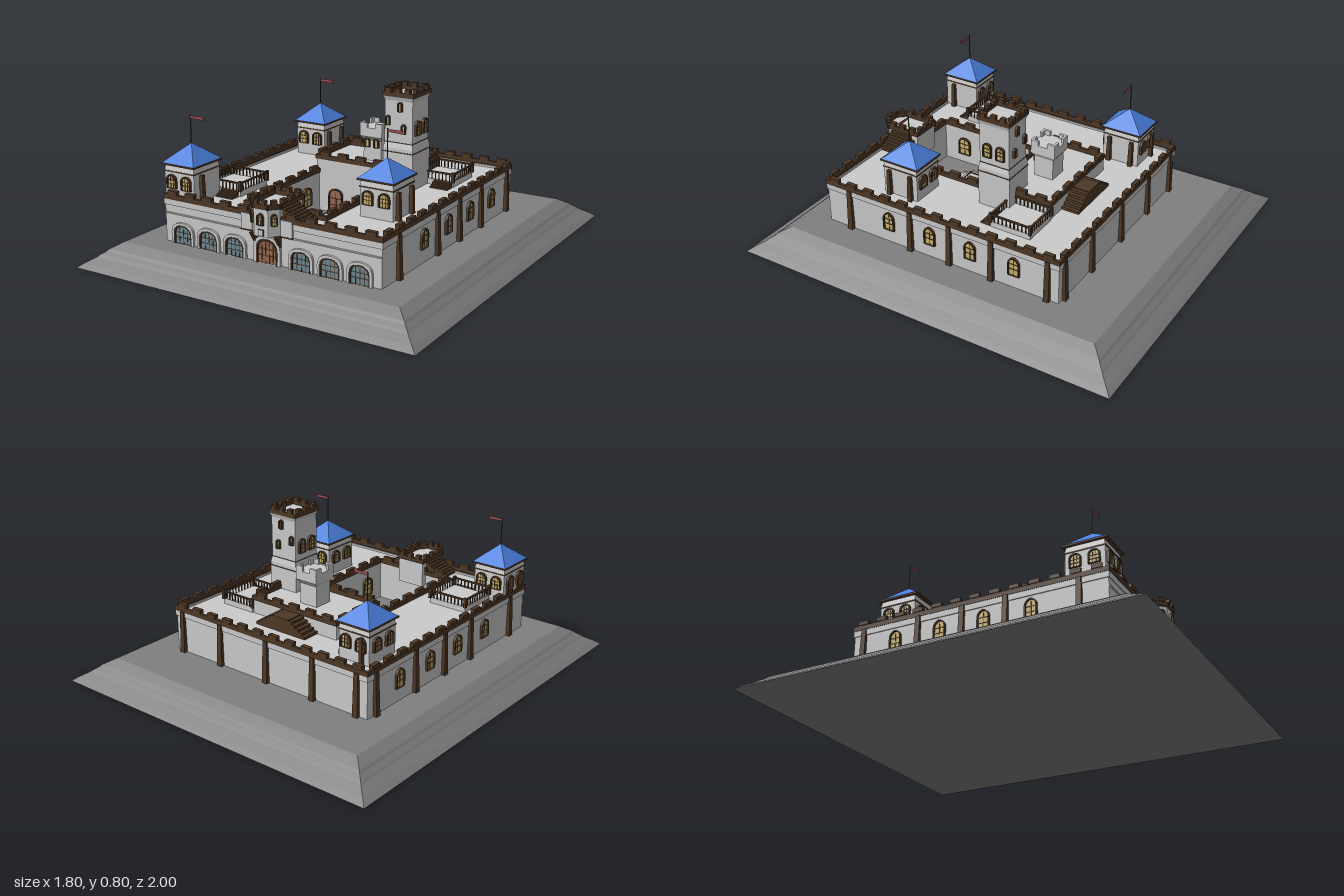
import * as THREE from 'three';

const mat = (color) => new THREE.MeshStandardMaterial({ color, flatShading: true, side: THREE.DoubleSide });
const STONE = mat(0xcccccc), GROUND = mat(0x808080), WOOD = mat(0x4e3826), BLUE = mat(0x4a80dd),
  GLASS = mat(0xc9b26b), DARKGLASS = mat(0x6f8790), DOOR = mat(0x9a6a52), RED = mat(0x9c4a50);

function add(parent, name, geometry, material, x = 0, y = 0, z = 0) {
  const mesh = new THREE.Mesh(geometry, material);
  mesh.name = name;
  mesh.position.set(x, y, z);
  parent.add(mesh);
  return mesh;
}

// box standing on y
function box(parent, name, material, w, h, d, x, y, z) {
  return add(parent, name, new THREE.BoxGeometry(w, h, d), material, x, y + h / 2, z);
}

// box whose top has a different size from its bottom
function taper(parent, name, material, w0, d0, w1, d1, h, x, y, z) {
  const geometry = new THREE.BoxGeometry(1, h, 1);
  const p = geometry.attributes.position;
  for (let i = 0; i < p.count; i++) {
    const top = p.getY(i) > 0;
    p.setX(i, p.getX(i) * (top ? w1 : w0));
    p.setZ(i, p.getZ(i) * (top ? d1 : d0));
  }
  geometry.computeVertexNormals();
  return add(parent, name, geometry, material, x, y + h / 2, z);
}

// floor plan of [x, z] corners raised to height h, with an optional hole
function plan(parent, name, material, points, y, h, hole) {
  const vec = (list) => list.map(([x, z]) => new THREE.Vector2(x, -z));
  const shape = new THREE.Shape(vec(points));
  if (hole) shape.holes.push(new THREE.Path(vec(hole)));
  const geometry = new THREE.ExtrudeGeometry(shape, { depth: h, bevelEnabled: false });
  geometry.rotateX(-Math.PI / 2);
  return add(parent, name, geometry, material, 0, y, 0);
}

const rect = (x0, z0, x1, z1) => [[x0, z0], [x1, z0], [x1, z1], [x0, z1]];

// low wall with merlons following a line of [x, z] corners
function parapet(parent, name, points, y, spacing = 0.1, material = WOOD, h = 0.022) {
  for (let i = 0; i < points.length - 1; i++) {
    const [x0, z0] = points[i], [x1, z1] = points[i + 1];
    const length = Math.hypot(x1 - x0, z1 - z0);
    const run = new THREE.Group();
    run.name = name;
    run.position.set((x0 + x1) / 2, y, (z0 + z1) / 2);
    run.rotation.y = -Math.atan2(z1 - z0, x1 - x0);
    box(run, 'parapetWall', material, length + 0.014, h, 0.014, 0, 0, 0);
    const n = Math.max(1, Math.round(length / spacing));
    for (let k = 0; k < n; k++)
      box(run, 'merlon', material, length / n * 0.52, h * 0.9, 0.022, ((k + 0.5) / n - 0.5) * length, h, 0);
    parent.add(run);
  }
}
const ring = (x0, z0, x1, z1) => [...rect(x0, z0, x1, z1), [x0, z0]];

function archShape(w, h, pointed) {
  const s = new THREE.Shape();
  const r = w / 2, spring = h - (pointed ? w * 0.62 : Math.min(r, h * 0.5));
  s.moveTo(-r, 0);
  s.lineTo(r, 0);
  s.lineTo(r, spring);
  s.quadraticCurveTo(r, pointed ? h * 0.9 : h, 0, h);
  s.quadraticCurveTo(-r, pointed ? h * 0.9 : h, -r, spring);
  return s;
}

// arched opening: frame, pane and bars; angle turns it to face its wall
function arch(parent, name, w, h, x, y, z, angle, { pane = GLASS, frame = WOOD, edge = 0.006, pointed = false, bars = 1 } = {}) {
  const g = new THREE.Group();
  g.name = name;
  const outer = archShape(w + edge * 2, h + edge, pointed);
  outer.holes.push(new THREE.Path(archShape(w, h, pointed).getPoints(6)));
  add(g, 'frame', new THREE.ExtrudeGeometry(outer, { depth: 0.012, bevelEnabled: false, curveSegments: 6 }), frame);
  add(g, 'pane', new THREE.ShapeGeometry(archShape(w, h, pointed), 6), pane, 0, 0, 0.003);
  for (let i = 1; i <= bars; i++) box(g, 'bar', WOOD, 0.003, h * 0.9, 0.003, (i / (bars + 1) - 0.5) * w, 0, 0.004);
  if (bars) for (const t of [0.33, 0.62]) box(g, 'crossBar', WOOD, w, 0.003, 0.003, 0, h * t, 0.004);
  g.position.set(x, y, z);
  g.rotation.y = angle;
  parent.add(g);
}

// square tower with a blue pyramid roof, pole and pennant
function roofTower(parent, x, z, posts) {
  const g = new THREE.Group();
  g.name = 'roofTower';
  g.position.set(x, 0, z);
  box(g, 'towerBody', STONE, 0.17, 0.145, 0.19, 0, 0.31, 0);
  box(g, 'towerCornice', WOOD, 0.176, 0.006, 0.196, 0, 0.447, 0);
  taper(g, 'towerHead', STONE, 0.172, 0.192, 0.16, 0.18, 0.03, 0, 0.453, 0);
  box(g, 'eaves', WOOD, 0.19, 0.008, 0.216, 0, 0.48, 0);
  taper(g, 'roof', BLUE, 0.186, 0.21, 0.002, 0.002, 0.083, 0, 0.488, 0);
  box(g, 'pole', WOOD, 0.004, 0.14, 0.004, 0, 0.565, 0);
  const flag = new THREE.Shape([[0, 0.004], [0.09, 0], [0.07, 0.009], [0.09, 0.018], [0, 0.016]].map((p) => new THREE.Vector2(...p)));
  add(g, 'pennant', new THREE.ShapeGeometry(flag), RED, 0, 0.685, 0);
  for (const s of [-1, 1]) {
    arch(g, 'towerWindow', 0.045, 0.06, s * 0.042, 0.37, 0.095, 0, { bars: 2 });
    arch(g, 'towerWindow', 0.045, 0.06, s * 0.042, 0.37, -0.095, Math.PI, { bars: 2 });
    arch(g, 'towerWindow', 0.045, 0.06, -0.085, 0.37, s * 0.045, -Math.PI / 2, { bars: 2 });
  }
  for (const pz of posts) taper(g, 'towerPost', WOOD, 0.024, 0.022, 0.016, 0.018, 0.13, 0.094, 0.31, pz);
  parent.add(g);
}

// raised deck with a balustrade and a short stair toward +z
function platform(parent, x0, z0, x1, z1, stairX) {
  const g = new THREE.Group();
  g.name = 'railedPlatform';
  plan(g, 'platformDeck', STONE, rect(x0, z0, x1, z1), 0.31, 0.028);
  const c = ring(x0, z0, x1, z1);
  for (let i = 0; i < 4; i++) {
    const [ax, az] = c[i], [bx, bz] = c[i + 1];
    box(g, 'handrail', WOOD, Math.abs(bx - ax) + 0.01, 0.007, Math.abs(bz - az) + 0.01, (ax + bx) / 2, 0.372, (az + bz) / 2);
    box(g, 'cornerPost', WOOD, 0.014, 0.05, 0.014, ax, 0.335, az);
    for (let k = 1; k < 10; k++)
      box(g, 'baluster', WOOD, 0.005, 0.036, 0.005, ax + (bx - ax) * k / 10, 0.338, az + (bz - az) * k / 10);
  }
  for (let i = 0; i < 4; i++) box(g, 'step', WOOD, 0.095, 0.028 - i * 0.007, 0.013, stairX, 0.31, z1 + 0.0105 + i * 0.013);
  parent.add(g);
}

export function createModel() {
  const model = new THREE.Group();
  model.name = 'castle';

  // stepped ground plinth: pairs of inset and height
  const steps = [[0, 0], [0.03, 0.022], [0.04, 0.028], [0.07, 0.047], [0.08, 0.056], [0.1, 0.07], [0.11, 0.08], [0.16, 0.11]];
  for (let i = 0; i < steps.length - 1; i++) {
    const [a, y0] = steps[i], [b, y1] = steps[i + 1];
    taper(model, 'plinthStep', GROUND, 1.8 - 2 * a, 2 - 2 * a, 1.8 - 2 * b, 2 - 2 * b, y1 - y0, 0, y0, 0);
  }

  // main walls with the open courtyard
  const yard = rect(-0.22, -0.04, 0.22, 0.58);
  plan(model, 'mainBlock', STONE, rect(-0.585, -0.575, 0.585, 0.715), 0.11, 0.2, yard);
  plan(model, 'cornice', WOOD, rect(-0.592, -0.582, 0.592, 0.722), 0.318, 0.006, rect(-0.575, -0.565, 0.575, 0.705));
  plan(model, 'wallTop', STONE, rect(-0.59, -0.58, 0.59, 0.72), 0.29, 0.03, rect(-0.57, -0.56, 0.57, 0.70));
  parapet(model, 'outerParapet', [[-0.08, 0.715], [-0.585, 0.715], [-0.585, -0.575], [0.585, -0.575], [0.585, 0.715], [0.08, 0.715]], 0.32);
  parapet(model, 'courtyardParapet', [[-0.22, -0.04], [-0.22, 0.58], [0.22, 0.58], [0.22, -0.04]], 0.31);
  for (const s of [-1, 1]) {
    for (const z of [0.58, 0.225, 0.005, -0.225, -0.52])
      taper(model, 'sideButtress', WOOD, 0.036, 0.028, 0.02, 0.024, 0.21, s * 0.587, 0.11, z);
    for (const z of [0.35, 0.115, -0.11, -0.345])
      arch(model, 'sideWindow', 0.05, 0.09, s * 0.585, 0.18, z, s * Math.PI / 2, { pointed: true });
    for (const x of [0.18, 0.33, 0.48]) {
      arch(model, 'frontWindow', 0.09, 0.085, s * x, 0.11, 0.715, 0, { pane: DARKGLASS, bars: 3 });
      arch(model, 'frontHood', 0.104, 0.092, s * x, 0.11, 0.716, 0, { pane: DARKGLASS, frame: STONE, edge: 0.012, bars: 0 });
    }
    box(model, 'stringCourse', STONE, 0.45, 0.006, 0.01, s * 0.36, 0.248, 0.717);
    for (const z of [0.08, 0.27, 0.46]) arch(model, 'courtyardWindow', 0.06, 0.09, s * 0.22, 0.16, z, -s * Math.PI / 2);
    arch(model, 'courtyardDoor', 0.07, 0.12, s * 0.12, 0.11, -0.04, 0, { pane: DOOR });
  }
  for (const x of [-0.53, -0.28, 0, 0.29, 0.54])
    taper(model, 'backButtress', WOOD, 0.028, 0.036, 0.024, 0.02, 0.21, x, 0.11, -0.577);

  // courtyard fountain
  const octagon = (a, b, c) => [[-a + c, -b], [a - c, -b], [a, -b + c], [a, b - c], [a - c, b], [-a + c, b], [-a, b - c], [-a, -b + c]]
    .map(([x, z]) => [x, z + 0.235]);
  const tiers = [[0.14, 0.165, 0.045, 0.02], [0.113, 0.137, 0.035, 0.035], [0.09, 0.115, 0.025, 0.045]];
  for (const [a, b, c, h] of tiers) {
    plan(model, 'fountainEdge', WOOD, octagon(a, b, c), 0.11, h);
    plan(model, 'fountainTier', STONE, octagon(a - 0.006, b - 0.006, c), 0.11, h + 0.003);
  }
  taper(model, 'fountainCap', STONE, 0.15, 0.2, 0.09, 0.15, 0.025, 0, 0.158, 0.235);
  plan(model, 'fountainRim', WOOD, rect(-0.046, 0.159, 0.046, 0.311), 0.18, 0.006, rect(-0.04, 0.165, 0.04, 0.305));

  // raised rear hall with double stair
  plan(model, 'rearHall', STONE, rect(-0.235, -0.355, 0.28, -0.04), 0.31, 0.07);
  parapet(model, 'hallParapet', ring(-0.233, -0.353, 0.278, -0.042), 0.38);
  for (let i = 0; i < 15; i++) {
    const h = 0.014 + 0.058 * Math.min(1, (1 - Math.abs(i - 7) / 7) * 1.6);
    box(model, 'hallStair', WOOD, 0.02, h, 0.09, -0.11 + i * 0.02, 0.31, -0.4);
  }

  // small turret on the hall
  const tx = 0.027, tz = -0.195;
  box(model, 'turretBody', STONE, 0.1, 0.11, 0.1, tx, 0.38, tz);
  taper(model, 'turretCorbel', STONE, 0.1, 0.1, 0.124, 0.13, 0.02, tx, 0.485, tz);
  box(model, 'turretHead', STONE, 0.124, 0.045, 0.13, tx, 0.505, tz);
  for (const sx of [-1, 1]) for (const sz of [-1, 1]) {
    box(model, 'turretMerlon', STONE, 0.04, 0.025, 0.012, tx + sx * 0.042, 0.55, tz + sz * 0.059);
    box(model, 'turretMerlon', STONE, 0.012, 0.025, 0.04, tx + sx * 0.056, 0.55, tz + sz * 0.045);
  }
  for (const s of [-1, 1]) arch(model, 'turretWindow', 0.018, 0.04, tx + s * 0.025, 0.45, tz + 0.05, 0, { bars: 0 });

  // tall keep
  const kx = 0.255, kz = -0.08;
  box(model, 'keepBase', STONE, 0.162, 0.2, 0.17, kx, 0.31, kz);
  box(model, 'keepBand', WOOD, 0.166, 0.005, 0.174, kx, 0.488, kz);
  taper(model, 'keepSlope', STONE, 0.162, 0.17, 0.15, 0.158, 0.025, kx, 0.51, kz);
  box(model, 'keepShaft', STONE, 0.15, 0.235, 0.158, kx, 0.53, kz);
  box(model, 'keepBand', WOOD, 0.154, 0.004, 0.162, kx, 0.535, kz);
  taper(model, 'keepCorbel', STONE, 0.15, 0.158, 0.164, 0.172, 0.02, kx, 0.74, kz);
  parapet(model, 'keepParapet', ring(kx - 0.077, kz - 0.081, kx + 0.077, kz + 0.081), 0.76, 0.05);
  for (const [x, y] of [[0.265, 0.69], [0.2, 0.62], [0.285, 0.585]]) {
    arch(model, 'keepSlit', 0.012, 0.04, x, y, kz + 0.079, 0, { bars: 0 });
    arch(model, 'keepSlit', 0.012, 0.04, x, y, kz - 0.079, Math.PI, { bars: 0 });
  }
  for (const s of [-1, 1]) for (const dz of [-0.035, 0.035])
    arch(model, 'keepWindow', 0.035, 0.065, kx + s * 0.075, 0.575, kz + dz, s * Math.PI / 2);
  arch(model, 'keepDoor', 0.04, 0.075, 0.28, 0.315, kz + 0.085, 0, { pane: DOOR });

  // gatehouse with a projecting bay
  const bay = [[-0.075, 0.55], [-0.075, 0.725], [-0.038, 0.765], [0.038, 0.765], [0.075, 0.725], [0.075, 0.55]];
  plan(model, 'gateBay', STONE, bay, 0.25, 0.13);
  parapet(model, 'gateParapet', [...bay, bay[0]], 0.38, 0.05);
  arch(model, 'gateDoor', 0.1, 0.105, 0, 0.11, 0.717, 0, { pane: DOOR, bars: 4, edge: 0.008 });
  arch(model, 'gateSurround', 0.118, 0.116, 0, 0.11, 0.716, 0, { pane: DOOR, frame: STONE, edge: 0.014, bars: 0 });
  box(model, 'gatePlaque', WOOD, 0.03, 0.03, 0.006, 0, 0.255, 0.766);
  box(model, 'gatePlaqueFace', STONE, 0.024, 0.024, 0.006, 0, 0.258, 0.768);
  arch(model, 'gateWindow', 0.022, 0.05, 0, 0.305, 0.765, 0, { pointed: true });
  for (const s of [-1, 1]) {
    arch(model, 'gateWindow', 0.018, 0.05, s * 0.0565, 0.305, 0.745, s * 0.75, { pointed: true });
    taper(model, 'gateBracket', WOOD, 0.012, 0.01, 0.018, 0.08, 0.06, s * 0.066, 0.195, 0.715);
    box(model, 'gatePier', STONE, 0.06, 0.075, 0.02, s * 0.108, 0.255, 0.717);
    box(model, 'gatePierEdge', WOOD, 0.064, 0.006, 0.024, s * 0.108, 0.25, 0.717);
    for (let i = 0; i < 7; i++) box(model, 'gateStair', WOOD, 0.015, 0.066 - i * 0.009, 0.12, s * (0.083 + i * 0.015), 0.31, 0.645);
  }

  // blue-roofed towers and railed platforms
  roofTower(model, -0.437, -0.387, [-0.06, 0.06]);
  roofTower(model, 0.397, 0.35, [-0.06, 0.06]);
  roofTower(model, -0.503, 0.61, [0.045]);
  box(model, 'towerPost', WOOD, 0.018, 0.13, 0.02, -0.485, 0.31, -0.49);
  platform(model, -0.515, 0.285, -0.31, 0.5, -0.365);
  platform(model, 0.285, -0.36, 0.475, -0.15, 0.425);
  return model;
}
